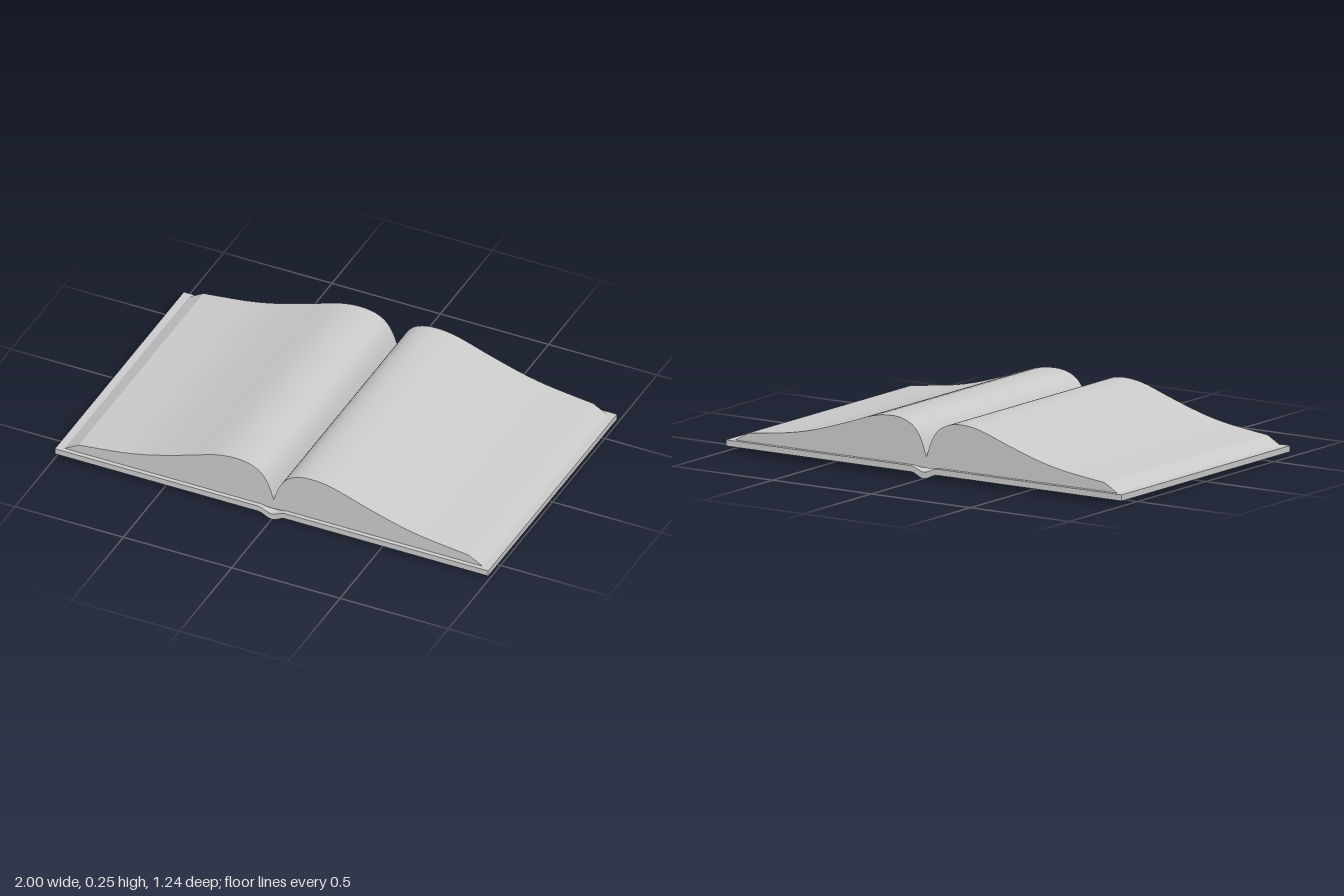
import * as THREE from 'three';
import { toCreasedNormals } from 'three/addons/utils/BufferGeometryUtils.js';

const material = new THREE.MeshStandardMaterial({ color: 0xcccccc });

const toPoints = (list) => list.map(([x, y]) => new THREE.Vector2(x, y));

// Takes the right half of an outline from the centre line outwards and mirrors it.
function mirrored(half) {
  const left = half.slice(1).reverse().map((p) => new THREE.Vector2(-p.x, p.y));
  return [...left, ...half];
}

// Extrudes an outline (bottom and top edges, both left to right) along z.
function slab(name, bottom, top, depth) {
  const shape = new THREE.Shape([...bottom, ...top.slice().reverse()]);
  let geometry = new THREE.ExtrudeGeometry(shape, { depth, bevelEnabled: false, steps: 1 });
  geometry.translate(0, 0, -depth / 2);
  geometry = toCreasedNormals(geometry, 0.35);
  const mesh = new THREE.Mesh(geometry, material);
  mesh.name = name;
  return mesh;
}

export function createModel() {
  const book = new THREE.Group();
  book.name = 'openBook';

  // Cover boards joined by a shallow sagging spine
  const sag = (flat, low) => {
    const half = [];
    for (let i = 0; i <= 8; i++) {
      const t = i / 8;
      half.push(new THREE.Vector2(0.065 * t, low + (flat - low) * (1 - Math.cos(Math.PI * t)) / 2));
    }
    half.push(new THREE.Vector2(1, flat));
    return mirrored(half);
  };
  book.add(slab('cover', sag(0.022, 0), sag(0.048, 0.028), 1.235));

  // Page blocks: steep rise from the gutter, rounded crest, long slope to the bevelled edge
  const pageCurve = new THREE.SplineCurve(toPoints([
    [0, 0.087], [0.025, 0.158], [0.06, 0.208], [0.11, 0.236], [0.18, 0.245], [0.27, 0.233],
    [0.4, 0.19], [0.5, 0.158], [0.6, 0.13], [0.7, 0.11], [0.8, 0.097], [0.9, 0.085],
  ]));
  const pageTop = [...pageCurve.getPoints(44), new THREE.Vector2(0.965, 0.048)];
  const pageBottom = toPoints([[0, 0.041], [0.03, 0.043], [0.065, 0.048], [0.96, 0.048]]);
  book.add(slab('pages', mirrored(pageBottom.slice(0, 3)), mirrored(pageTop), 1.195));

  return book;
}
